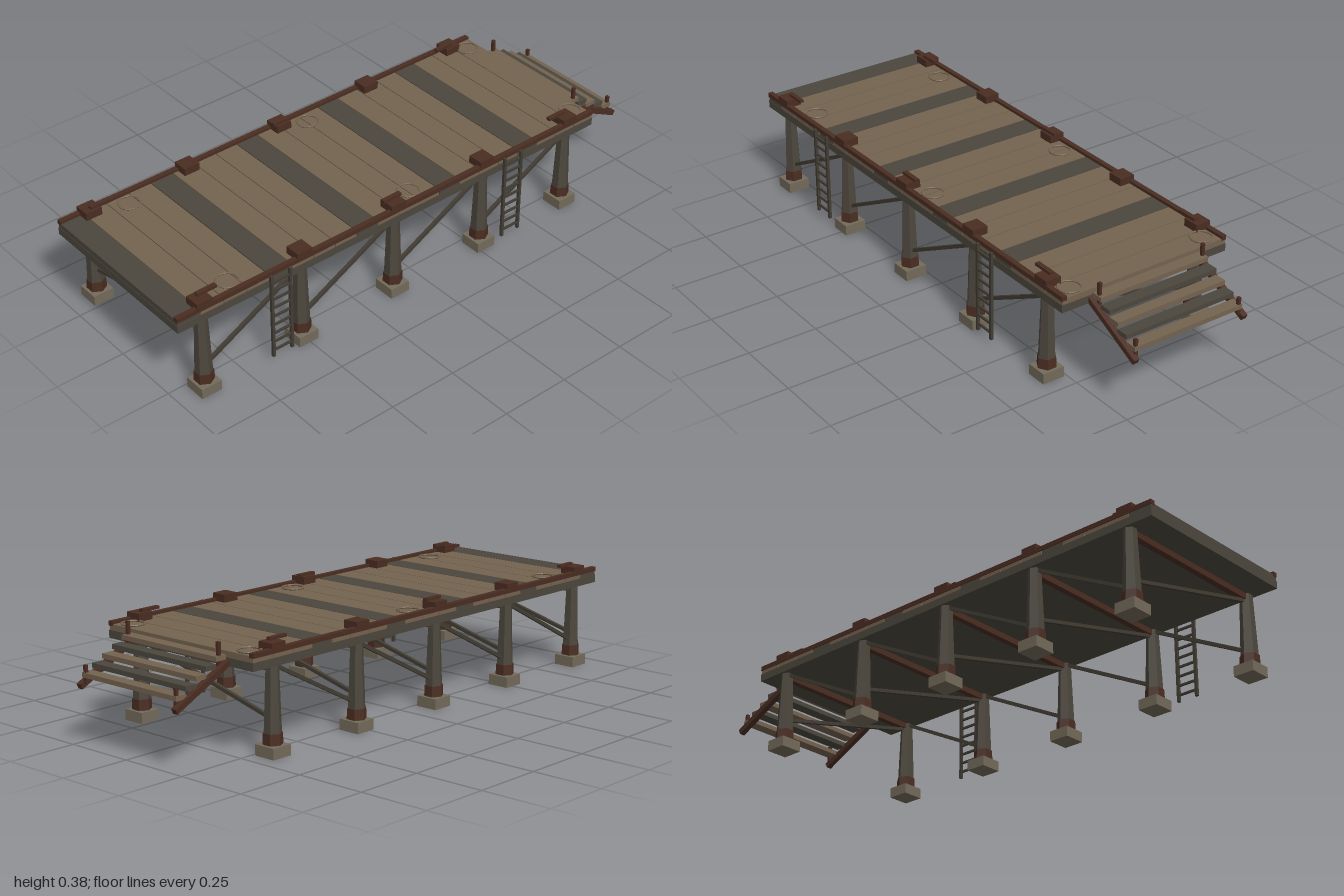
import * as THREE from 'three';

const mat = (color) => new THREE.MeshStandardMaterial({ color, flatShading: true, roughness: 0.9 });

export function createModel() {
  const model = new THREE.Group();
  const plankMat = mat(0x74624f), greyMat = mat(0x4c473d), redMat = mat(0x4a2d22);
  const stoneMat = mat(0x736a5a), poleMat = mat(0x423d34);

  const add = (name, geometry, material, x, y, z, parent = model) => {
    const mesh = new THREE.Mesh(geometry, material);
    mesh.name = name;
    mesh.position.set(x, y, z);
    parent.add(mesh);
    return mesh;
  };
  const box = (name, m, w, h, d, x, y, z, parent) =>
    add(name, new THREE.BoxGeometry(w, h, d), m, x, y, z, parent);
  // Square timber running between two points
  const beam = (name, m, a, b, width, height) => {
    const from = new THREE.Vector3(...a), to = new THREE.Vector3(...b);
    const mid = from.clone().add(to).multiplyScalar(0.5);
    const mesh = box(name, m, width, height, from.distanceTo(to), mid.x, mid.y, mid.z);
    mesh.lookAt(to);
    return mesh;
  };

  // Deck: under-frame, planks and edge rails
  const x0 = -1, x1 = 0.77, length = x1 - x0, midX = (x0 + x1) / 2;
  box('deckFrame', greyMat, length, 0.027, 0.656, midX, 0.3065, 0);
  const count = 20, pitch = length / count;
  for (let i = 0; i < count; i++) {
    box('deckPlank', i % 4 === 0 ? greyMat : plankMat, pitch - 0.003, 0.02, 0.652,
      x0 + (i + 0.5) * pitch, 0.33, 0);
  }
  for (const s of [-1, 1]) box('edgeRail', redMat, length, 0.016, 0.018, midX, 0.342, s * 0.32);

  // Support posts with footings, collars, caps and braces
  const postX = [-0.895, -0.506, -0.117, 0.272, 0.66];
  const postZ = 0.301;
  postX.forEach((x, i) => {
    for (const s of [-1, 1]) {
      const z = s * postZ;
      box('footing', stoneMat, 0.076, 0.037, 0.08, x, 0.0185, z);
      add('postCollar', new THREE.CylinderGeometry(0.0325, 0.034, 0.036, 6), redMat, x, 0.057, z);
      add('post', new THREE.CylinderGeometry(0.0215, 0.031, 0.26, 6), greyMat, x, 0.166, z);
      box('postCap', redMat, 0.06, 0.028, 0.057, x, 0.353, z);
      // Mooring bar on every second cap, turned towards the deck middle
      if (i % 2 === 0) {
        box('mooringBar', redMat, 0.074, 0.01, 0.016, x + (i === 0 ? 0.032 : i === 4 ? -0.032 : 0), 0.372, s * 0.29);
      }
      if (i < 4) {
        beam('longBrace', poleMat, [x + 0.025, 0.103, z], [postX[i + 1] - 0.015, 0.286, z], 0.012, 0.012);
      }
    }
    box('crossBeam', redMat, 0.022, 0.022, 0.58, x, 0.283, 0);
    beam('crossBrace', poleMat, [x, 0.122, -0.285], [x, 0.27, 0.285], 0.012, 0.012);
  });

  // Rope coils lying on the deck
  for (const x of [-0.765, -0.023, 0.722]) {
    for (const s of [-1, 1]) {
      const coil = add('ropeCoil', new THREE.TorusGeometry(0.037, 0.0035, 6, 20), plankMat, x, 0.343, s * 0.265);
      coil.rotation.x = Math.PI / 2;
    }
  }

  // Ladders on the front side
  for (const x of [-0.613, 0.38]) {
    const ladder = new THREE.Group();
    ladder.name = 'ladder';
    ladder.position.set(x, 0, 0.341);
    model.add(ladder);
    for (const s of [-1, 1]) box('ladderRail', poleMat, 0.01, 0.323, 0.01, s * 0.037, 0.1845, 0, ladder);
    for (let i = 0; i < 9; i++) box('ladderRung', poleMat, 0.074, 0.007, 0.007, 0, 0.047 + i * 0.034, 0, ladder);
  }

  // Stairs at the left end
  for (let i = 0; i < 5; i++) {
    box('stairTread', i % 2 ? greyMat : plankMat, 0.042, 0.016, 0.43, 0.795 + i * 0.042, 0.322 - i * 0.0228, 0);
  }
  for (const s of [-1, 1]) {
    beam('stairStringer', redMat, [0.765, 0.307, s * 0.217], [0.994, 0.194, s * 0.217], 0.02, 0.019);
    box('stairPost', redMat, 0.011, 0.085, 0.011, 0.797, 0.331, s * 0.206);
    box('stairPost', redMat, 0.011, 0.06, 0.011, 0.976, 0.233, s * 0.206);
  }
  return model;
}
